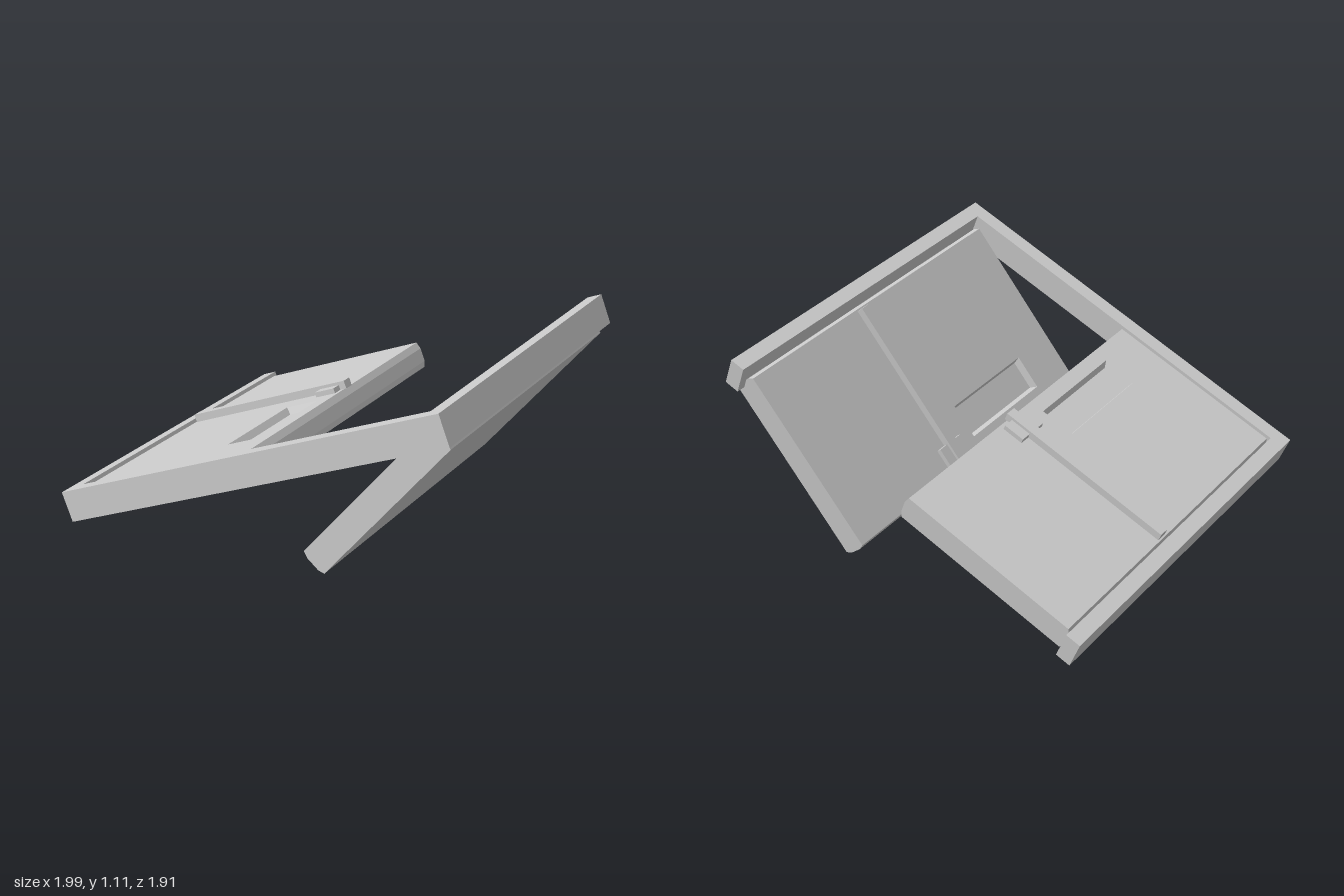
import * as THREE from 'three';

const W = 2.075, LEN = 1.86, THICK = 0.15, POST = 0.076;   // frame
const DW = 0.95, DL = 1.735, DT = 0.135;                   // door leaf
const RECESS = 0.035, BEVEL = 0.012;

const grey = new THREE.MeshStandardMaterial({ color: 0xcccccc, flatShading: true });

function part(name, geometry, x = 0, y = 0, z = 0) {
  const mesh = new THREE.Mesh(geometry, grey);
  mesh.name = name;
  mesh.position.set(x, y, z);
  return mesh;
}

const polygon = (points) => new THREE.Shape(points.map(([x, y]) => new THREE.Vector2(x, y)));

// U-shaped frame: two posts joined by one beam at the front
function frameGeometry() {
  const shape = polygon([
    [0, 0], [W, 0], [W, LEN], [W - POST, LEN], [W - POST, POST],
    [POST, POST], [POST, LEN], [0, LEN],
  ]);
  const g = new THREE.ExtrudeGeometry(shape, { depth: THICK, bevelEnabled: false });
  return g.rotateX(-Math.PI / 2).translate(0, -THICK, 0);
}

// Lower part of a leaf, chamfered along its long bottom edges
function slabGeometry() {
  const h = DW / 2, top = DT - RECESS;
  const shape = polygon([
    [-h + BEVEL, 0], [h - BEVEL, 0], [h, 0.03], [h, top], [-h, top], [-h, 0.03],
  ]);
  return new THREE.ExtrudeGeometry(shape, { depth: DL, bevelEnabled: false }).translate(0, 0, -DL / 2);
}

// Upper part of a leaf, with a sloping-sided window recess
function faceGeometry(side) {
  const h = DW / 2, l = DL / 2;
  const wx = side * (h - 0.18), wz = 0.34, hw = 0.09, hl = 0.273;
  const shape = polygon([[-h, -l], [h, -l], [h, l], [-h, l]]);
  shape.holes.push(polygon([
    [wx - hw, -wz - hl], [wx - hw, -wz + hl], [wx + hw, -wz + hl], [wx + hw, -wz - hl],
  ]));
  const g = new THREE.ExtrudeGeometry(shape, { depth: RECESS, bevelEnabled: false }).rotateX(-Math.PI / 2);
  const p = g.attributes.position;
  for (let i = 0; i < p.count; i++) {
    const x = p.getX(i), z = p.getZ(i), upper = p.getY(i) > RECESS / 2;
    const outer = Math.abs(Math.abs(z) - l) < 1e-4;
    if (outer && upper) p.setX(i, x - Math.sign(x) * BEVEL);
    if (!outer && !upper) {
      p.setX(i, x - Math.sign(x - wx) * 0.014);
      p.setZ(i, z - Math.sign(z - wz) * 0.014);
    }
  }
  g.computeVertexNormals();
  return g;
}

// One leaf: its hinge edge is at x = 0 and it reaches towards side * x
function door(name, side) {
  const leaf = new THREE.Group();
  leaf.name = name;
  const mid = side * DW / 2;
  const barLength = DW - 0.02;
  leaf.add(
    part('doorSlab', slabGeometry(), mid),
    part('doorFace', faceGeometry(side), mid, DT - RECESS),
    part('crossBar', new THREE.BoxGeometry(barLength, 0.04, 0.055), side * (DW - barLength / 2), DT + 0.02, -0.1),
    part('barBracket', new THREE.BoxGeometry(0.11, 0.025, 0.165), side * (DW - 0.09), DT + 0.0125, -0.1),
  );
  return leaf;
}

export function createModel() {
  const model = new THREE.Group();
  model.name = 'doubleDoor';

  const tilted = new THREE.Group();
  tilted.name = 'doorway';
  tilted.add(part('frame', frameGeometry()));

  // Closed leaf, flush with the underside of the frame
  const zMid = -0.08 - DL / 2;
  const closed = door('rightDoor', 1);
  closed.position.set(POST + 0.003, -THICK, zMid);

  // Leaf swung open
  const open = door('leftDoor', -1);
  open.position.set(2.04, -0.173, zMid);
  open.rotation.z = 0.499;
  tilted.add(closed, open);

  // Lay the whole doorway over at its resting tilt
  const v = new THREE.Vector3(-0.0135, 0.079, 0.997).normalize();
  const n = v.clone().cross(new THREE.Vector3(0.917, 0.398, -0.019)).normalize();
  const u = n.clone().cross(v);
  tilted.quaternion.setFromRotationMatrix(new THREE.Matrix4().makeBasis(u, n, v));
  tilted.position.set(-1, 0.285, 0.94);

  model.add(tilted);
  return model;
}
